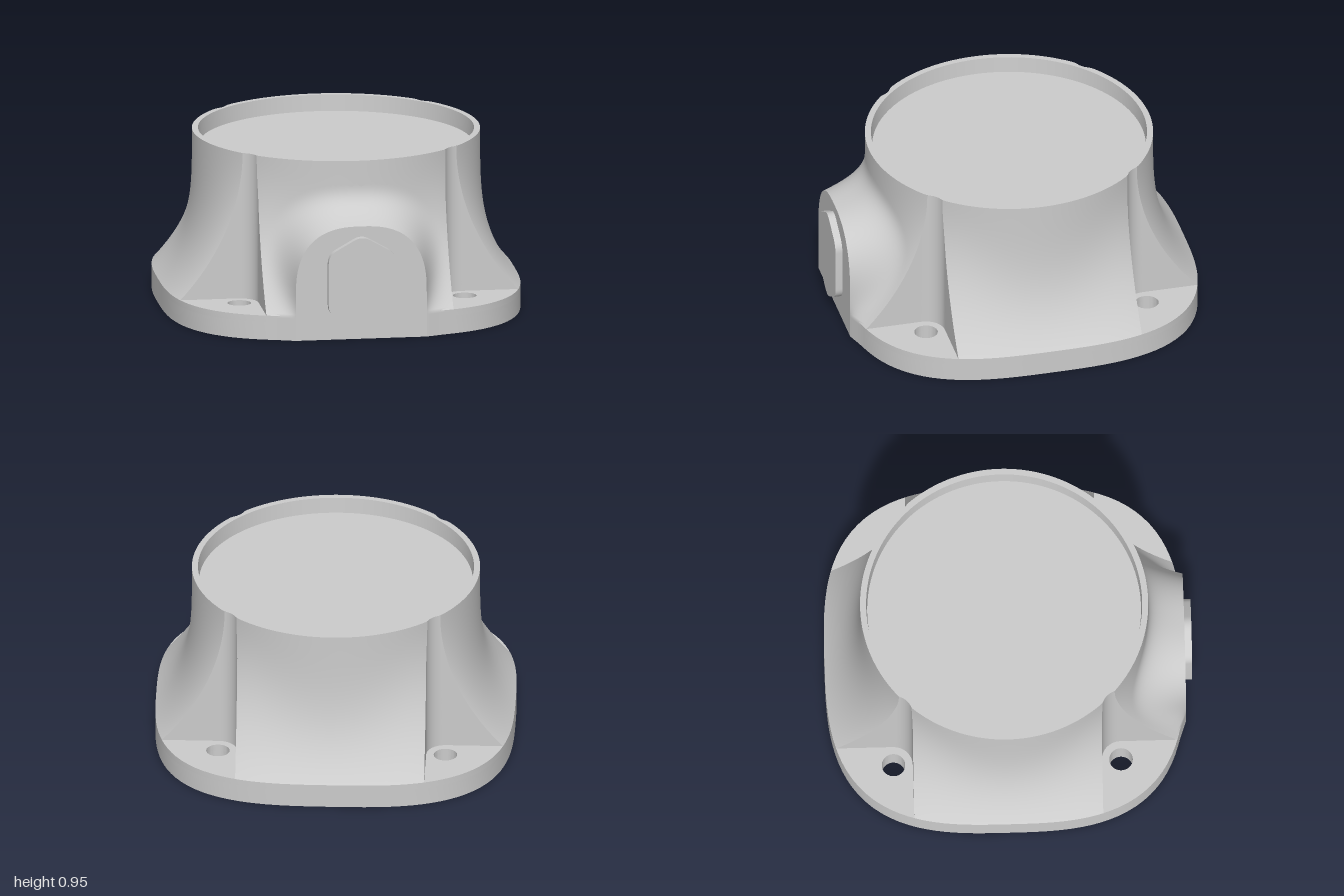
import * as THREE from 'three';
import { toCreasedNormals } from 'three/addons/utils/BufferGeometryUtils.js';
import { ParametricGeometry } from 'three/addons/geometries/ParametricGeometry.js';

const BASE = 0.135, TOP = 0.95, RIM = 0.785, HALF = 0.98;
const POCKET = 0.515, HOLE = 0.62, FILLET = HOLE - POCKET;
const { sin, cos, abs, min, max, sqrt, PI, sign } = Math;

const grey = new THREE.MeshStandardMaterial({ color: 0xcccccc });
const greyDouble = new THREE.MeshStandardMaterial({ color: 0xcccccc, side: THREE.DoubleSide });

// Rounded-square footprint radius at angle a
const footprint = a => HALF / Math.cbrt(abs(sin(a)) ** 3 + abs(cos(a)) ** 3);

// Flared body: round at the top, rounded square at the base
function bodyRadius(a, y) {
  const t = min(1, max(0, (y - BASE) / (TOP - BASE)));
  const power = 3.8 - 1.5 * sin(2 * a) ** 2;
  return RIM + (footprint(a) - RIM) * (1 - t) ** power;
}

// Corner pocket boundary: two planes joined by a fillet around the bolt hole
function pocketRadius(angle) {
  const q = ((angle % (PI / 2)) + PI / 2) % (PI / 2);
  const a = min(q, PI / 2 - q);
  if (POCKET / Math.tan(a) >= HOLE) return POCKET / sin(a);
  const d = HOLE * (sin(a) + cos(a));
  return d - sqrt(max(0, d * d - 2 * HOLE * HOLE + FILLET * FILLET));
}

// Angle from the side's axis where the flare meets the pocket
function edgeAngle(y) {
  let lo = 0.01, hi = PI / 4;
  for (let i = 0; i < 45; i++) {
    const m = (lo + hi) / 2;
    if (bodyRadius(m, y) < pocketRadius(m)) lo = m; else hi = m;
  }
  return lo;
}

// Depth of the front flare at a given x and y
function bodyDepth(x, y) {
  let z = 0.8;
  for (let i = 0; i < 15; i++) z = sqrt(bodyRadius(Math.atan2(x, z), y) ** 2 - x * x);
  return z;
}

const levelY = v => BASE + (TOP - BASE) * v ** 1.2;

function sideWall(u, v, p) {
  const y = levelY(v), a = edgeAngle(y) * (2 * u - 1), r = bodyRadius(a, y);
  p.set(r * sin(a), y, r * cos(a));
}

function pocketWall(u, v, p) {
  const y = levelY(v), e = edgeAngle(y), a = e + (PI / 2 - 2 * e) * u, r = pocketRadius(a);
  p.set(r * sin(a), y, r * cos(a));
}

// Arch outline of the front port, left to right, widened by v
function archPoint(s, v) {
  const w = 0.36 + 0.155 * v, h = 0.38 + 0.2 * v, leg = 0.15, spring = 0.25;
  if (s < leg) return [-w, spring * s / leg];
  if (s > 1 - leg) return [w, spring * (1 - s) / leg];
  const f = PI * (1 - (s - leg) / (1 - 2 * leg)), c = cos(f), k = 2 / 2.6;
  return [w * sign(c) * abs(c) ** k, spring + h * max(0, sin(f)) ** k];
}

// Concave blend from the port face back into the body
function portBlend(u, v, p) {
  const [x, y] = archPoint(u, v), z = bodyDepth(x, y);
  p.set(x, y, z + (HALF + 0.001 - z) * max(0, 1 - v) ** 2.9);
}

// Closed shape with softened corners
function softShape(points, r) {
  const s = new THREE.Shape(), n = points.length;
  points.forEach((c, i) => {
    const toward = q => c.clone().add(q.clone().sub(c).setLength(r));
    const a = toward(points[(i + n - 1) % n]), b = toward(points[(i + 1) % n]);
    if (i) s.lineTo(a.x, a.y); else s.moveTo(a.x, a.y);
    s.quadraticCurveTo(c.x, c.y, b.x, b.y);
  });
  s.closePath();
  return s;
}

function polarShape(radius, n) {
  return new THREE.Shape(Array.from({ length: n }, (_, i) => {
    const a = i / n * 2 * PI, r = radius(a);
    return new THREE.Vector2(r * cos(a), r * sin(a));
  }));
}

const circleHole = (x, y, r) => new THREE.Path().absarc(x, y, r, 0, 2 * PI, true);

export function createModel() {
  const model = new THREE.Group();
  model.name = 'flangedHousing';
  const body = new THREE.Group();
  body.name = 'body';
  body.position.z = -0.02;
  model.add(body);

  const add = (name, geometry, material = grey) => {
    const mesh = new THREE.Mesh(geometry, material);
    mesh.name = name;
    body.add(mesh);
    return mesh;
  };

  // Base flange: bolt holes go through, two locating holes stop in the lower layer
  const corners = [[1, 1], [1, -1], [-1, -1], [-1, 1]].map(([x, z]) => [x * HOLE, z * HOLE]);
  const layer = (name, y, depth, holes) => {
    const shape = polarShape(footprint, 128);
    for (const [x, z] of holes) shape.holes.push(circleHole(x, z, 0.064));
    const g = new THREE.ExtrudeGeometry(shape, { depth, bevelEnabled: false, curveSegments: 24 });
    g.rotateX(-PI / 2).translate(0, y, 0);
    add(name, toCreasedNormals(g, 0.6));
  };
  layer('flangeLower', 0, 0.1, [...corners, [0.13, 0.8], [0.13, -0.8]]);
  layer('flangeUpper', 0.1, BASE - 0.1, corners);

  // Four flared sides and four corner pockets
  const side = new ParametricGeometry(sideWall, 40, 32);
  const pocket = new ParametricGeometry(pocketWall, 32, 32);
  for (let i = 0; i < 4; i++) {
    add('flaredSide', side).rotation.y = i * PI / 2;
    add('cornerPocket', pocket).rotation.y = i * PI / 2;
  }

  // Top rim and recessed lid
  const rim = polarShape(a => min(RIM, pocketRadius(a)), 240);
  rim.holes.push(circleHole(0, 0, 0.752));
  add('rim', new THREE.ShapeGeometry(rim, 60).rotateX(-PI / 2).translate(0, TOP, 0));
  add('rimInside', new THREE.CylinderGeometry(0.752, 0.746, 0.09, 120, 1, true).translate(0, TOP - 0.045, 0), greyDouble);
  add('lid', new THREE.CircleGeometry(0.746, 120).rotateX(-PI / 2).translate(0, TOP - 0.09, 0));

  // Front port: flat arched face blended into the flare
  const arch = new THREE.Shape(Array.from({ length: 81 }, (_, i) => new THREE.Vector2(...archPoint(i / 80, 0))));
  add('portFace', new THREE.ShapeGeometry(arch).translate(0, 0, HALF + 0.001));
  add('portBlend', new ParametricGeometry(portBlend, 80, 20), greyDouble);

  // Elongated six-sided plug
  const plug = softShape([[0, 0.045], [0.185, 0.15], [0.185, 0.48], [0, 0.585], [-0.185, 0.48], [-0.185, 0.15]]
    .map(([x, y]) => new THREE.Vector2(x, y)), 0.05);
  const plugGeometry = new THREE.ExtrudeGeometry(plug, { depth: 0.04, bevelEnabled: false, curveSegments: 8 });
  add('plug', toCreasedNormals(plugGeometry.translate(0, 0, HALF), 0.6));

  return model;
}
